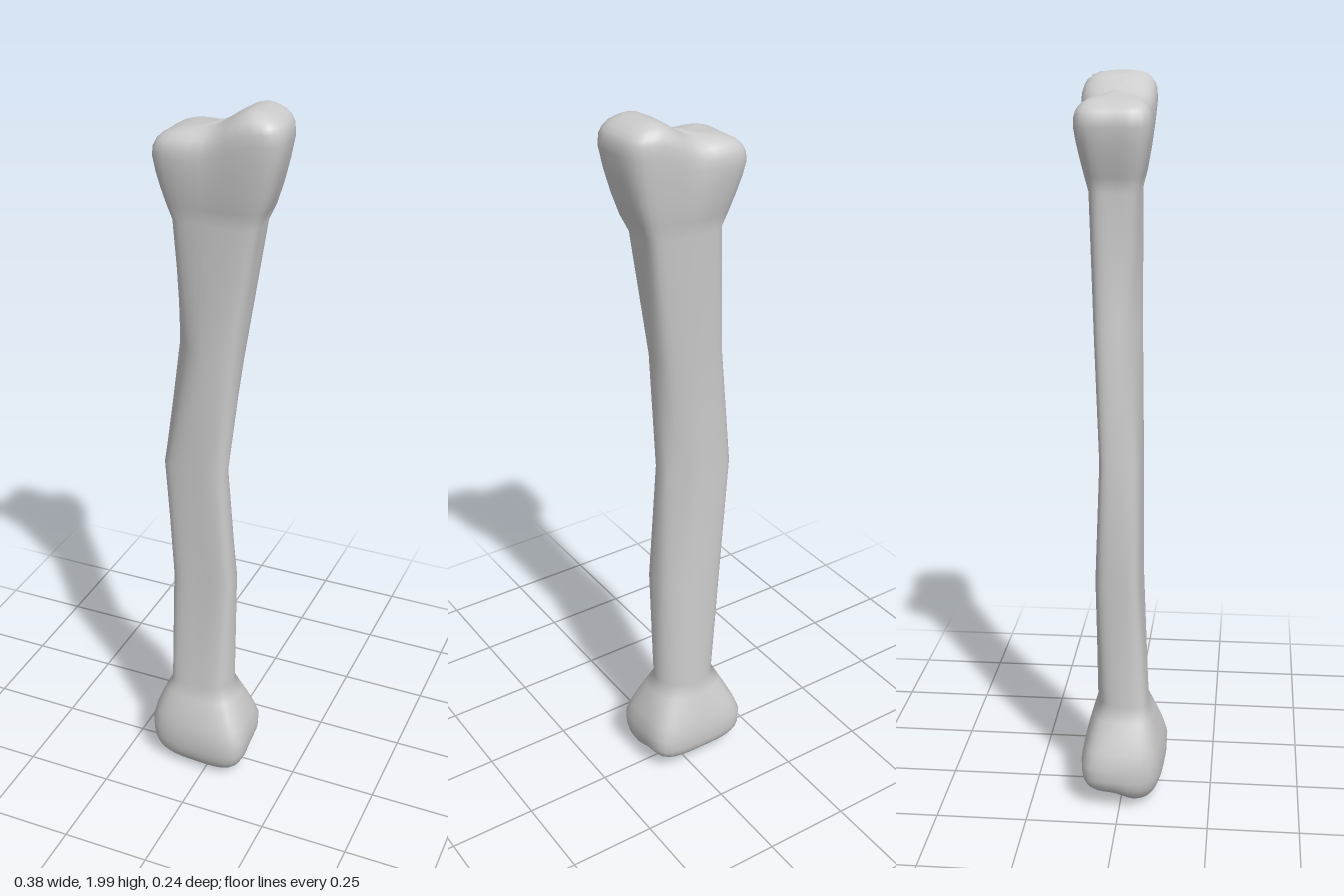
import * as THREE from 'three';

// Key cross-sections from bottom to top:
// [y, xRight, xLeft, zBack, zFront, corner fullness: frontLeft, frontRight, backRight, backLeft]
const LOWER_HEAD = [0.13, -0.19, 0.118, -0.112, 0.119, 0.9, 0.78, 0.86, 0.84];
const SHAFT = [
  [0.29, -0.12, 0.057, -0.071, 0.072, 0.76, 0.88, 0.71, 0.68],
  [0.65, -0.12, 0.058, -0.072, 0.05, 0.95, 0.87, 0.88, 0.68],
  [1.0, -0.15, 0.035, -0.053, 0.053, 0.9, 0.76, 0.95, 0.47],
  [1.35, -0.109, 0.07, -0.072, 0.049, 0.8, 0.55, 0.93, 0.81],
  [1.7, -0.104, 0.115, -0.09, 0.042, 0.92, 0.95, 0.83, 0.89],
];
const UPPER_HEAD = [1.865, -0.151, 0.187, -0.123, 0.077, 0.89, 0.9, 0.88, 0.79];
const SIDES = 40;
const CAP_RINGS = 8;
const FLARE_RINGS = 4;

// Rounded closed outline through four side points and four corner points
function outline([y, x0, x1, z0, z1, fl, fr, br, bl]) {
  const cx = (x0 + x1) / 2, cz = (z0 + z1) / 2, hx = (x1 - x0) / 2, hz = (z1 - z0) / 2;
  const points = [[1, 0], [fl, fl], [0, 1], [-fr, fr], [-1, 0], [-br, -br], [0, -1], [bl, -bl]]
    .map(([u, v]) => new THREE.Vector3(cx + u * hx, y, cz + v * hz));
  const curve = new THREE.CatmullRomCurve3(points, true, 'catmullrom', 0.5);
  return Array.from({ length: SIDES }, (_, i) => curve.getPoint(i / SIDES));
}

// Sections easing from a head into the neck of the shaft, both ends left out
function flare(head, neck) {
  return Array.from({ length: FLARE_RINGS - 1 }, (_, i) => {
    const t = (i + 1) / FLARE_RINGS;
    return head.map((v, k) => THREE.MathUtils.lerp(v, neck[k], k === 0 ? t : t ** 1.25));
  });
}

// Sections closing a head from its widest ring to its pole; a larger power gives a flatter end
function cap(head, height, power) {
  const [y, x0, x1, z0, z1, ...corners] = head;
  const cx = (x0 + x1) / 2, cz = (z0 + z1) / 2;
  return Array.from({ length: CAP_RINGS + 1 }, (_, i) => {
    const angle = (i / CAP_RINGS) * Math.PI / 2;
    const s = i === CAP_RINGS ? 0 : Math.cos(angle) ** (2 / power);
    const rise = height * Math.sin(angle) ** (2 / power);
    const shrink = (v, c) => c + (v - c) * s;
    return [y + rise, shrink(x0, cx), shrink(x1, cx), shrink(z0, cz), shrink(z1, cz), ...corners];
  });
}

// Raised left side and waisted front and back on the upper head; lifted back of the lower head
function sculpt(p) {
  const { smoothstep } = THREE.MathUtils;
  const upper = smoothstep(p.y, 1.72, 1.9);
  const lower = 1 - smoothstep(p.y, 0, 0.12);
  p.z *= 1 - 0.12 * upper * Math.exp(-((p.x / 0.045) ** 2));
  p.y += upper * 0.062 * smoothstep(p.x, -0.02, 0.115);
  p.y += lower * 0.024 * (1 - smoothstep(p.z, -0.03, 0.05));
  return p;
}

function loft(rings) {
  const positions = [], index = [];
  rings.forEach((ring) => ring.forEach((p) => positions.push(p.x, p.y, p.z)));
  for (let r = 0; r < rings.length - 1; r++) {
    for (let i = 0; i < SIDES; i++) {
      const j = (i + 1) % SIDES;
      const a = r * SIDES + i, b = r * SIDES + j, c = a + SIDES, d = b + SIDES;
      index.push(a, c, b, b, c, d);
    }
  }
  const geometry = new THREE.BufferGeometry();
  geometry.setAttribute('position', new THREE.Float32BufferAttribute(positions, 3));
  geometry.setIndex(index);
  geometry.computeVertexNormals();
  return geometry;
}

export function createModel() {
  const group = new THREE.Group();
  group.name = 'longBone';
  const sections = [
    ...cap(LOWER_HEAD, -0.13, 3).reverse(),
    ...flare(LOWER_HEAD, SHAFT[0]),
    ...SHAFT,
    ...flare(UPPER_HEAD, SHAFT[SHAFT.length - 1]).reverse(),
    ...cap(UPPER_HEAD, 0.075, 2.8),
  ];
  const rings = sections.map((section) => outline(section).map(sculpt));
  const bone = new THREE.Mesh(loft(rings), new THREE.MeshStandardMaterial({ color: 0xcccccc }));
  bone.name = 'bone';
  group.add(bone);
  return group;
}
